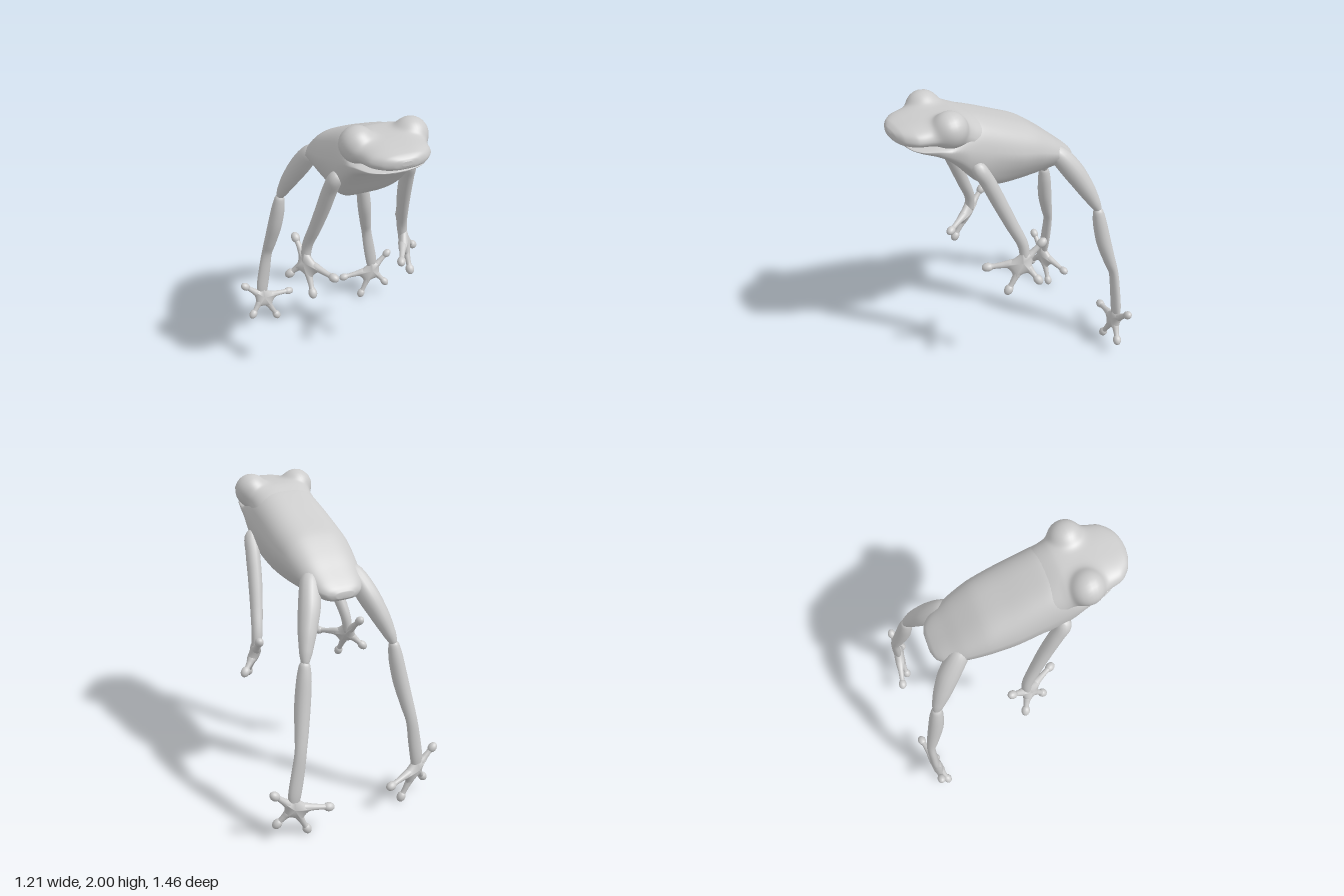
import * as THREE from 'three';

const material = new THREE.MeshStandardMaterial({ color: 0xcccccc, roughness: 0.7 });
const webMaterial = new THREE.MeshStandardMaterial({ color: 0xcccccc, roughness: 0.7, side: THREE.DoubleSide });
const V = (x, y, z) => new THREE.Vector3(x, y, z);
const spline = points => new THREE.CatmullRomCurve3(points, false, 'catmullrom', 0.4);

function makeMesh(name, geometry, mat = material) {
  const mesh = new THREE.Mesh(geometry, mat);
  mesh.name = name;
  return mesh;
}

// Skins a list of closed rings (arrays of Vector3) and caps both ends.
function loft(rings) {
  const n = rings[0].length, last = rings.length - 1;
  const pos = [], idx = [];
  const middle = ring => ring.reduce((s, p) => s.add(p), V(0, 0, 0)).divideScalar(n);
  rings.forEach(ring => ring.forEach(p => pos.push(p.x, p.y, p.z)));
  const c0 = rings.length * n, c1 = c0 + 1;
  [middle(rings[0]), middle(rings[last])].forEach(p => pos.push(p.x, p.y, p.z));
  for (let j = 0; j < n; j++) {
    const k = (j + 1) % n;
    for (let i = 0; i < last; i++) {
      const a = i * n + j, b = i * n + k;
      idx.push(a, b, a + n, b, b + n, a + n);
    }
    idx.push(c0, k, j, c1, last * n + j, last * n + k);
  }
  const g = new THREE.BufferGeometry();
  g.setAttribute('position', new THREE.Float32BufferAttribute(pos, 3));
  g.setIndex(idx);
  g.computeVertexNormals();
  return g;
}

// Rings from stations [z, half width, top, bottom, height of widest point 0..1, narrowing of the underside].
function bodyRings(stations, lowerPower, steps, sides) {
  const a = spline(stations.map(s => V(s[0], s[1], s[5])));
  const b = spline(stations.map(s => V(s[2], s[3], s[4])));
  const rings = [];
  for (let i = 0; i <= steps; i++) {
    const p = a.getPoint(i / steps), q = b.getPoint(i / steps);
    const mid = q.y + (q.x - q.y) * q.z, ring = [];
    for (let j = 0; j < sides; j++) {
      const t = j / sides * Math.PI * 2, c = Math.cos(t), s = Math.sin(t);
      const power = s < 0 ? lowerPower : 0.65;
      const h = Math.abs(s) ** power;
      const x = p.y * Math.sign(c) * Math.abs(c) ** power * (1 - h * (s < 0 ? p.z : 0.12));
      ring.push(V(x, s > 0 ? mid + (q.x - mid) * h : mid - (mid - q.y) * h, p.x));
    }
    rings.push(ring);
  }
  return rings;
}

// Pushes points out of a sphere with a soft blend, raising an eye bump.
function bulge(rings, center, radius, blend) {
  rings.flat().forEach(p => {
    const out = p.clone().sub(center), d = out.length();
    const h = Math.max(blend - Math.abs(d - radius), 0) / blend;
    p.copy(center).addScaledVector(out.normalize(), Math.max(d, radius) + h * h * blend / 4);
  });
}

// Round limb through points [x, y, z, radius, front-to-back squeeze].
function limb(points, steps = 32, sides = 16) {
  const path = new THREE.CatmullRomCurve3(points.map(p => V(p[0], p[1], p[2])));
  const size = spline(points.map((p, i) => V(p[3], i, p[4] ?? 1)));
  const rings = [];
  for (let i = 0; i <= steps; i++) {
    const c = path.getPoint(i / steps), t = path.getTangent(i / steps), s = size.getPoint(i / steps);
    const r = Math.max(s.x, 0.002);
    const u = V(0, 0, 1).cross(t).normalize(), v = t.clone().cross(u);
    rings.push(Array.from({ length: sides }, (_, j) => {
      const a = j / sides * Math.PI * 2;
      return c.clone().addScaledVector(u, r * Math.cos(a)).addScaledVector(v, r * s.z * Math.sin(a));
    }));
  }
  return loft(rings);
}

// Lens-shaped palm with concave webbing between the spokes.
function palm(center, spokes, reach, thickness) {
  const rim = [], n = 10;
  const ends = spokes.map(s => center.clone().lerp(s, reach));
  ends.forEach((e, i) => {
    const next = ends[(i + 1) % ends.length];
    const control = e.clone().add(next).multiplyScalar(0.5).lerp(center, 0.42);
    const curve = new THREE.QuadraticBezierCurve3(e, control, next);
    for (let k = 0; k < n; k++) rim.push(curve.getPoint(k / n));
  });
  const normal = V(0, 0, 0);
  rim.forEach((p, i) => normal.add(p.clone().sub(center).cross(rim[(i + 1) % rim.length].clone().sub(center))));
  normal.normalize();
  const rings = [];
  for (let i = 0; i <= 12; i++) {
    const a = (i / 12 - 0.5) * Math.PI;
    const r = Math.max(Math.cos(a), 0.01), h = Math.sin(a) * thickness;
    rings.push(rim.map(p => center.clone().lerp(p, r).addScaledVector(normal, h)));
  }
  return loft(rings);
}

// Webbed foot: four slim digits, each swelling into an oval pad.
function webbedFoot(name, side, center, wrist, tips) {
  const g = new THREE.Group();
  g.name = name;
  const flip = p => V(p[0] * side, p[1], p[2]);
  const c = flip(center), ends = tips.map(flip);
  g.add(makeMesh('palm', palm(c, [...ends, flip(wrist)], 0.62, 0.035), webMaterial));
  ends.forEach(e => {
    const at = (t, r) => [...c.clone().lerp(e, t).toArray(), r];
    g.add(makeMesh('digit', limb([at(0, 0.026), at(0.3, 0.027), at(0.55, 0.02), at(0.78, 0.017), at(0.95, 0.024)])));
    const pad = makeMesh('toePad', new THREE.SphereGeometry(0.028, 18, 12));
    pad.scale.set(1, 1.3, 1);
    pad.quaternion.setFromUnitVectors(V(0, 1, 0), e.clone().sub(c).normalize());
    pad.position.copy(e).lerp(c, 0.06);
    g.add(pad);
  });
  return g;
}

export function createModel() {
  const frog = new THREE.Group();
  frog.name = 'frog';

  // Torso with a flat belly and broad chest, running forward into the lower jaw
  frog.add(makeMesh('torsoAndJaw', loft(bodyRings([
    [-0.476, 0.06, 1.462, 1.425, 0.5, 0.2],
    [-0.457, 0.115, 1.488, 1.408, 0.5, 0.25],
    [-0.42, 0.152, 1.522, 1.4, 0.5, 0.3],
    [-0.36, 0.178, 1.572, 1.395, 0.5, 0.35],
    [-0.28, 0.208, 1.64, 1.39, 0.5, 0.4],
    [-0.15, 0.235, 1.735, 1.385, 0.5, 0.42],
    [0, 0.247, 1.805, 1.385, 0.5, 0.42],
    [0.14, 0.247, 1.868, 1.41, 0.5, 0.32],
    [0.26, 0.245, 1.912, 1.49, 0.45, 0.16],
    [0.36, 0.24, 1.9, 1.605, 0.45, 0.08],
    [0.45, 0.226, 1.82, 1.695, 0.65, 0.08],
    [0.52, 0.213, 1.812, 1.742, 0.75, 0.1],
    [0.6, 0.172, 1.805, 1.775, 0.75, 0.15],
    [0.64, 0.115, 1.803, 1.787, 0.7, 0.2],
    [0.655, 0.04, 1.801, 1.793, 0.6, 0.2],
  ], 0.45, 64, 56))));

  // Upper head and snout with raised eyes, leaving the mouth slightly open
  const head = bodyRings([
    [0.1, 0.215, 1.835, 1.5, 0.5, 0.2],
    [0.2, 0.222, 1.886, 1.55, 0.5, 0.1],
    [0.32, 0.218, 1.938, 1.7, 0.5, 0.06],
    [0.45, 0.216, 1.945, 1.8, 0.5, 0.05],
    [0.55, 0.207, 1.942, 1.813, 0.45, 0.05],
    [0.635, 0.186, 1.933, 1.823, 0.45, 0.05],
    [0.69, 0.135, 1.922, 1.832, 0.45, 0.05],
    [0.717, 0.078, 1.905, 1.845, 0.5, 0.05],
    [0.727, 0.03, 1.89, 1.865, 0.5, 0.05],
  ], 0.65, 110, 96);
  for (const side of [1, -1]) bulge(head, V(0.162 * side, 1.896, 0.432), 0.102, 0.06);
  frog.add(makeMesh('headAndEyes', loft(head)));

  for (const side of [1, -1]) {
    const label = side > 0 ? 'left' : 'right';
    const add = (name, points) =>
      frog.add(makeMesh(label + name, limb(points.map(([x, ...rest]) => [x * side, ...rest]))));

    // Front limb
    add('Arm', [
      [0.19, 1.665, 0.285, 0.015], [0.23, 1.635, 0.292, 0.044], [0.25, 1.54, 0.245, 0.046],
      [0.268, 1.4, 0.185, 0.045], [0.298, 1.22, 0.11, 0.04], [0.33, 1.06, 0.045, 0.034], [0.345, 0.95, 0.04, 0.03],
    ]);
    frog.add(webbedFoot(label + 'Hand', side, [0.345, 0.945, 0.05], [0.335, 1.08, 0.05], [
      [0.37, 1.07, -0.075], [0.445, 0.842, -0.003], [0.345, 0.758, 0.165], [0.228, 0.908, 0.258],
    ]));

    // Hind limb: thigh, then shin running into a flattened ankle
    add('Thigh', [
      [0.12, 1.56, -0.26, 0.03], [0.155, 1.5, -0.325, 0.06], [0.2, 1.39, -0.405, 0.068],
      [0.25, 1.27, -0.472, 0.058], [0.29, 1.16, -0.525, 0.04], [0.305, 1.11, -0.545, 0.026], [0.31, 1.08, -0.55, 0.01],
    ]);
    add('Shin', [
      [0.305, 1.125, -0.542, 0.012], [0.31, 1.09, -0.547, 0.034], [0.322, 1.0, -0.56, 0.046],
      [0.345, 0.86, -0.585, 0.049], [0.375, 0.7, -0.628, 0.043, 0.9], [0.395, 0.6, -0.655, 0.038, 0.75],
      [0.42, 0.45, -0.663, 0.043, 0.65], [0.442, 0.32, -0.665, 0.043, 0.65], [0.45, 0.23, -0.662, 0.03, 0.65],
    ]);
    frog.add(webbedFoot(label + 'Foot', side, [0.447, 0.23, -0.66], [0.44, 0.37, -0.665], [
      [0.58, 0.356, -0.66], [0.545, 0.11, -0.617], [0.345, 0.025, -0.65], [0.215, 0.185, -0.708],
    ]));
  }
  return frog;
}
